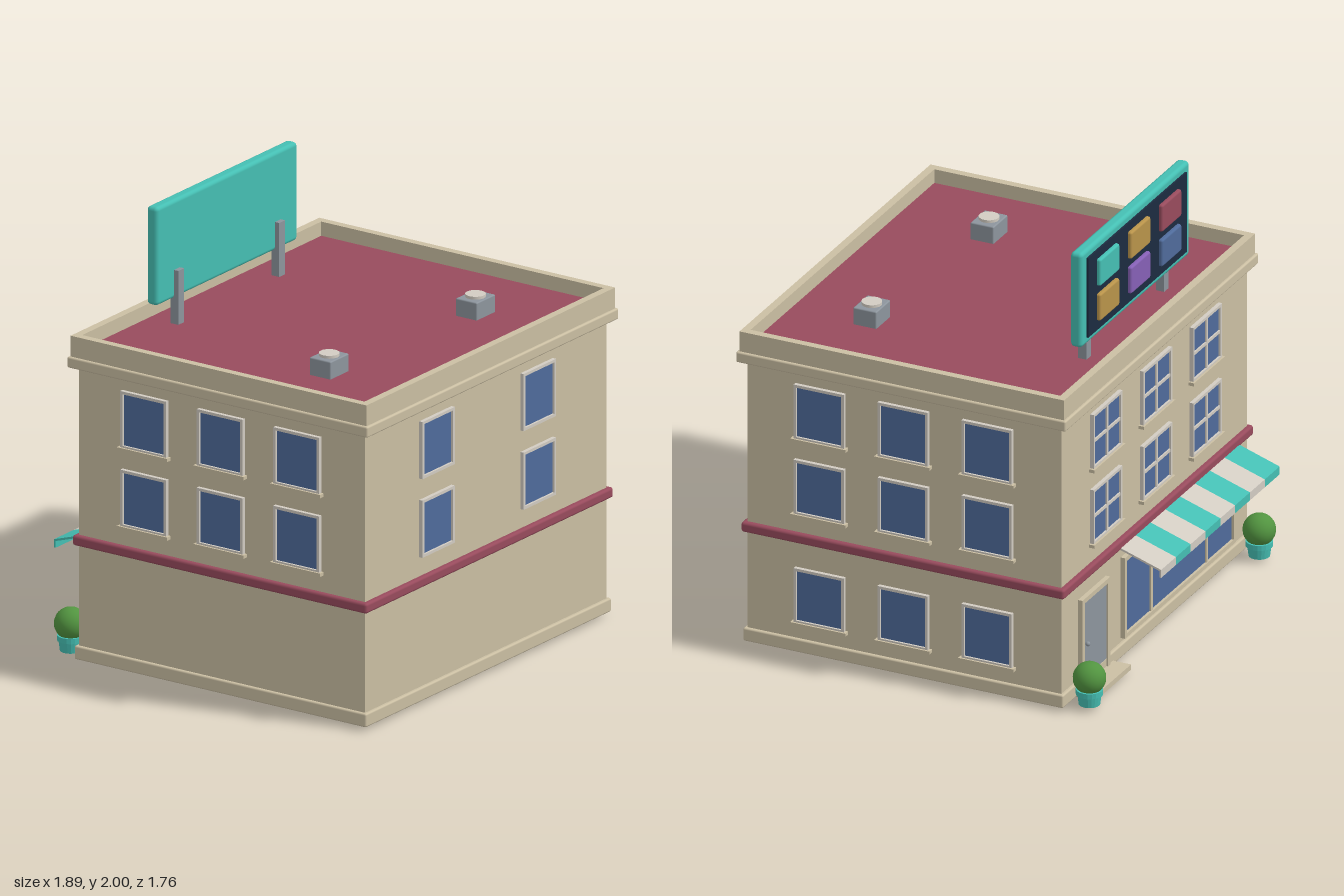
import * as THREE from 'three';
import { RoundedBoxGeometry } from 'three/addons/geometries/RoundedBoxGeometry.js';

const COLORS = {
  wall: 0xcbbfa3, red: 0x984b5d, teal: 0x45bfb3, cream: 0xd2ccc2, glass: 0x4f6b9b,
  grey: 0x8d959d, navy: 0x1c2b40, gold: 0xb8934a, purple: 0x8560b5, green: 0x529440,
};

export function createModel() {
  const root = new THREE.Group();
  root.name = 'cornerShop';
  const mats = {};
  for (const [name, color] of Object.entries(COLORS)) {
    mats[name] = new THREE.MeshStandardMaterial({ color });
    mats[name].name = name;
  }

  const add = (parent, name, geo, mat, x = 0, y = 0, z = 0) => {
    const m = new THREE.Mesh(geo, mats[mat]);
    m.name = name;
    m.position.set(x, y, z);
    parent.add(m);
    return m;
  };
  // Box given by its lower and upper corners, with optional rounded edges
  const block = (parent, name, mat, [x0, y0, z0], [x1, y1, z1], r = 0) => {
    const s = [x1 - x0, y1 - y0, z1 - z0];
    const geo = r ? new RoundedBoxGeometry(...s, 2, r) : new THREE.BoxGeometry(...s);
    return add(parent, name, geo, mat, (x0 + x1) / 2, (y0 + y1) / 2, (z0 + z1) / 2);
  };
  const group = (name, parent = root) => {
    const g = new THREE.Group();
    g.name = name;
    parent.add(g);
    return g;
  };
  // Rectangular frame lying in the xy plane, from z = 0 to z = depth
  const ringGeo = (w, h, t, depth) => {
    const rect = (Type, a, b) => new Type([[-a, -b], [a, -b], [a, b], [-a, b]].map((p) => new THREE.Vector2(...p)));
    const shape = rect(THREE.Shape, w / 2, h / 2);
    shape.holes.push(rect(THREE.Path, w / 2 - t, h / 2 - t));
    return new THREE.ExtrudeGeometry(shape, { depth, bevelEnabled: false });
  };

  // Building shell: everything is a horizontal layer around one centre
  const CX = -0.003, CZ = 0.087, HX = 0.905, HZ = 0.755;
  const building = group('building');
  building.position.set(CX, 0, CZ);
  const layer = (name, mat, y0, y1, out, r) =>
    block(building, name, mat, [-HX - out, y0, -HZ - out], [HX + out, y1, HZ + out], r);
  layer('plinth', 'wall', 0.018, 0.08, 0.015, 0.008);
  layer('walls', 'wall', 0.03, 1.4, 0);
  layer('redBand', 'red', 0.54, 0.587, 0.022, 0.012);
  layer('cornice', 'wall', 1.355, 1.405, 0.038, 0.008);
  layer('roof', 'red', 1.4, 1.435, -0.01);
  const parapet = add(building, 'parapet', ringGeo(2 * HX + 0.052, 2 * HZ + 0.052, 0.036, 0.095), 'wall', 0, 1.405, 0);
  parapet.rotation.x = -Math.PI / 2;

  // Window facing +z, centred on its origin
  const addWindow = (parent, x, y, { w = 0.242, sill = true, cross = false }) => {
    const h = 0.262, g = group('window', parent);
    g.position.set(x, y, 0);
    add(g, 'windowFrame', ringGeo(w, h, 0.013, 0.018), 'cream');
    add(g, 'windowGlass', new THREE.BoxGeometry(w - 0.02, h - 0.02, 0.016), 'glass');
    if (sill) block(g, 'windowSill', 'wall', [-w / 2 - 0.012, -h / 2 - 0.01, 0], [w / 2 + 0.012, -h / 2 + 0.005, 0.027]);
    if (cross) {
      add(g, 'mullion', new THREE.BoxGeometry(0.014, h - 0.02, 0.03), 'cream');
      add(g, 'transom', new THREE.BoxGeometry(w - 0.02, 0.014, 0.03), 'cream');
    }
  };
  const GROUND = 0.288, MID = 0.806, TOP = 1.166;
  const facades = [
    ['frontWindows', 0, HZ, [-0.379, 0.379], [MID, TOP], { sill: false }],
    ['leftWindows', Math.PI / 2, HX, [-0.404, 0, 0.404], [GROUND, MID, TOP], {}],
    ['rightWindows', -Math.PI / 2, HX, [-0.404, 0, 0.404], [MID, TOP], {}],
    ['backWindows', Math.PI, HZ, [-0.485, 0, 0.485], [MID, TOP], { w: 0.28, cross: true }],
  ];
  for (const [name, angle, dist, xs, ys, opts] of facades) {
    const g = group(name, building);
    g.rotation.y = angle;
    g.position.set(Math.sin(angle) * dist, 0, Math.cos(angle) * dist);
    for (const x of xs) for (const y of ys) addWindow(g, x, y, opts);
  }

  // Shop window in three panes
  const BACK = CZ - HZ;
  const shop = group('shopWindow');
  shop.position.set(-0.215, 0.293, BACK);
  shop.rotation.y = Math.PI;
  add(shop, 'shopFrame', ringGeo(1.08, 0.385, 0.02, 0.022), 'wall');
  add(shop, 'shopGlass', new THREE.BoxGeometry(1.05, 0.355, 0.02), 'glass');
  for (const x of [-0.27, 0.27]) add(shop, 'shopMullion', new THREE.BoxGeometry(0.016, 0.36, 0.036), 'wall', x);

  // Door with frame, knob and step
  const door = group('door');
  door.position.set(0.604, 0, BACK);
  door.rotation.y = Math.PI;
  add(door, 'doorFrame', ringGeo(0.272, 0.46, 0.022, 0.022), 'wall', 0, 0.23, 0);
  block(door, 'doorPanel', 'grey', [-0.118, 0.015, -0.01], [0.118, 0.442, 0.014]);
  add(door, 'doorKnob', new THREE.SphereGeometry(0.011, 12, 8), 'grey', -0.088, 0.235, 0.024);
  block(door, 'doorStep', 'wall', [-0.175, 0.015, 0], [0.175, 0.04, 0.102]);

  // Striped awning: a sloping sheet with a hanging edge, cut into stripes
  const awning = group('awning');
  const stripe = 1.155 / 8;
  const section = new THREE.Shape([
    [0.665, 0.559], [0.883, 0.488], [0.883, 0.45], [0.875, 0.45], [0.875, 0.481], [0.665, 0.549],
  ].map((p) => new THREE.Vector2(...p)));
  for (let i = 0; i < 8; i++) {
    const geo = new THREE.ExtrudeGeometry(section, { depth: stripe, bevelEnabled: false });
    geo.rotateY(Math.PI / 2); // section now runs toward -z, extrusion along +x
    add(awning, 'awningStripe', geo, i % 2 ? 'cream' : 'teal', -0.79 + i * stripe);
  }

  // Potted bushes
  for (const x of [-0.837, 0.818]) {
    const plant = group('pottedBush');
    plant.position.set(x, 0, -0.762);
    const profile = [[0, 0.018], [0.047, 0.018], [0.053, 0.066], [0.06, 0.066], [0.06, 0.09], [0, 0.09]];
    const pot = new THREE.LatheGeometry(profile.map((p) => new THREE.Vector2(...p)), 20).toNonIndexed();
    pot.computeVertexNormals();
    add(plant, 'pot', pot, 'teal');
    add(plant, 'bush', new THREE.SphereGeometry(0.073, 20, 14), 'green', 0, 0.142, 0);
  }

  // Rooftop vents
  for (const [x, z] of [[-0.532, 0.388], [0.454, 0.465]]) {
    const vent = group('roofVent');
    vent.position.set(x, 0, z);
    block(vent, 'ventBox', 'grey', [-0.07, 1.43, -0.056], [0.07, 1.515, 0.056], 0.006);
    add(vent, 'ventFan', new THREE.CylinderGeometry(0.045, 0.045, 0.016, 20), 'cream', 0, 1.52, 0);
  }

  // Billboard on two posts, its display facing the back
  const sign = group('billboard');
  block(sign, 'signBoard', 'teal', [-0.53, 1.55, -0.58], [0.527, 2, -0.523], 0.018);
  block(sign, 'signPanel', 'navy', [-0.482, 1.585, -0.589], [0.479, 1.965, -0.57]);
  for (const x of [-0.381, 0.375]) block(sign, 'signPost', 'grey', [x - 0.022, 1.43, -0.54], [x + 0.022, 1.682, -0.5]);
  const tiles = [['red', 'gold', 'teal'], ['glass', 'purple', 'gold']];
  tiles.forEach((row, r) => row.forEach((mat, c) => {
    add(sign, 'signTile', new RoundedBoxGeometry(0.19, 0.128, 0.026, 2, 0.01), mat, -0.303 + c * 0.302, 1.861 - r * 0.166, -0.594);
  }));

  return root;
}
